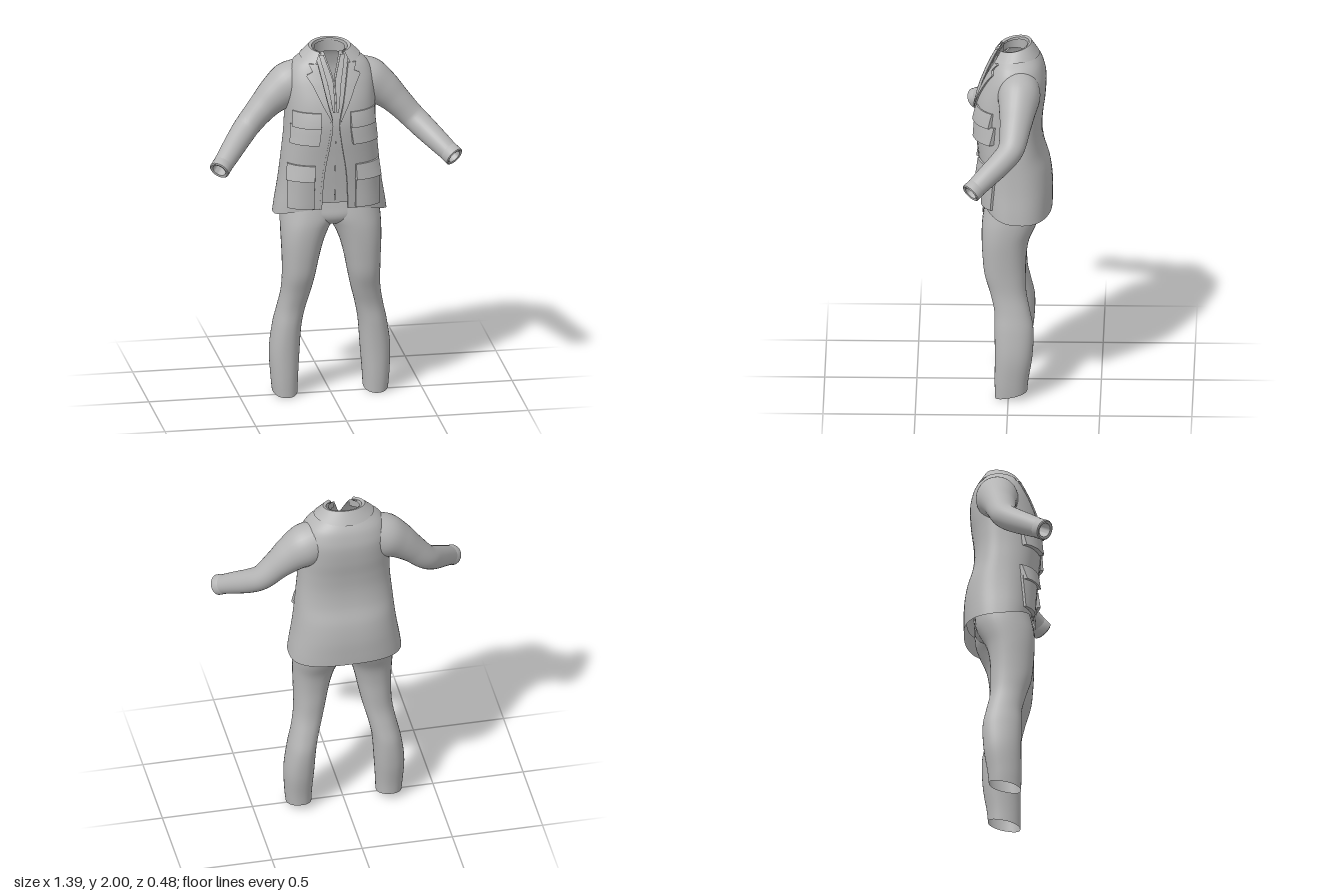
import * as THREE from 'three';
import { toCreasedNormals } from 'three/addons/utils/BufferGeometryUtils.js';

const cloth = new THREE.MeshStandardMaterial({ color: 0xb6b6b6, side: THREE.DoubleSide });
cloth.name = 'grey cloth';

const { lerp, clamp } = THREE.MathUtils;
const TAU = Math.PI * 2;
const ZC = -0.03; // depth of the torso axis

// Table of [key, a, b, ...] rows -> function giving smoothly interpolated [a, b, ...]
function profile(rows) {
  const slope = (i, k) => {
    const a = rows[Math.max(i - 1, 0)], b = rows[Math.min(i + 1, rows.length - 1)];
    return (b[k] - a[k]) / (b[0] - a[0]);
  };
  return (y) => {
    y = clamp(y, rows[0][0], rows[rows.length - 1][0]);
    let i = 0;
    while (i < rows.length - 2 && y > rows[i + 1][0]) i++;
    const p = rows[i], q = rows[i + 1], h = q[0] - p[0], t = (y - p[0]) / h;
    const t2 = t * t, t3 = t2 * t, out = [];
    for (let k = 1; k < p.length; k++) {
      out.push((2 * t3 - 3 * t2 + 1) * p[k] + (3 * t2 - 2 * t3) * q[k]
        + h * ((t3 - 2 * t2 + t) * slope(i, k) + (t3 - t2) * slope(i + 1, k)));
    }
    return out;
  };
}

// Grid surface from f(u, v) -> [x, y, z]; closed joins u = 1 to u = 0
function surface(f, nu, nv, closed = false) {
  const w = closed ? nu : nu + 1, pos = [], idx = [];
  for (let j = 0; j <= nv; j++) for (let i = 0; i < w; i++) pos.push(...f(i / nu, j / nv));
  for (let j = 0; j < nv; j++) for (let i = 0; i < nu; i++) {
    const a = j * w + i, b = j * w + (i + 1) % w;
    idx.push(a, b, b + w, a, b + w, a + w);
  }
  const g = new THREE.BufferGeometry();
  g.setAttribute('position', new THREE.Float32BufferAttribute(pos, 3));
  g.setIndex(idx);
  g.computeVertexNormals();
  return g;
}

const spow = (s, p) => Math.sign(s) * Math.abs(s) ** p;

// Torso sections: y, half width, front z, back z
const torso = profile([
  [1.03, 0.312, 0.135, -0.235], [1.1, 0.302, 0.142, -0.237], [1.2, 0.285, 0.15, -0.236],
  [1.3, 0.272, 0.16, -0.222], [1.4, 0.262, 0.17, -0.192], [1.5, 0.252, 0.18, -0.18],
  [1.6, 0.247, 0.183, -0.185], [1.7, 0.245, 0.165, -0.198], [1.8, 0.24, 0.128, -0.202],
  [1.86, 0.222, 0.1, -0.19], [1.9, 0.195, 0.08, -0.175], [1.935, 0.15, 0.06, -0.15],
  [1.97, 0.11, 0.04, -0.12],
]);
// Half width of the front openings
const jacketGap = profile([[1.03, 0.075], [1.3, 0.06], [1.5, 0.028], [1.6, 0.018], [1.7, 0.04], [1.85, 0.07], [1.97, 0.095]]);
const shirtGap = profile([[1.1, 0.0005], [1.8, 0.0005], [1.83, 0.004], [1.9, 0.026], [1.97, 0.05]]);

// Open-fronted garment wrapped around the torso
function garment(gap, hem, top, inset) {
  return surface((u, v) => {
    const y0 = lerp(1.06, top, v);
    const t0 = Math.asin((gap(y0)[0] / torso(y0)[0]) ** 1.25);
    const a = lerp(t0, TAU - t0, u);
    const y = lerp(hem(a), top, v);
    const [hx, zf, zb] = torso(y), c = Math.cos(a);
    return [(hx - inset) * spow(Math.sin(a), 0.8), y,
      ZC + (c > 0 ? zf - inset - ZC : ZC - zb - inset) * spow(c, 0.8)];
  }, 72, 56);
}

// Raised panel on the torso front between x0(y) and x1(y), with its edges turned in
function panel(side, x0, x1, yLow, yHigh, thick, nv = 10) {
  const nu = 10;
  const inner = (t, n) => clamp((t * (n + 2) - 1) / n, 0, 1);
  const g = surface((u, v) => {
    const edge = u < 1e-6 || v < 1e-6 || u > 1 - 1e-6 || v > 1 - 1e-6;
    const s = inner(side > 0 ? u : 1 - u, nu), t = inner(v, nv);
    const y = lerp(yLow, yHigh, t), [hx, zf] = torso(y);
    const x = lerp(x0(y), x1(y), s), r = Math.min(x / hx, 0.995);
    const d = edge ? -0.006 : thick(s, t);
    return [side * (x + 0.5 * d * r), y, ZC + (zf - ZC) * (1 - r ** 2.5) ** 0.4 + d];
  }, nu + 2, nv + 2);
  return toCreasedNormals(g, 0.7);
}

function linear(rows) {
  return (y) => {
    let i = 0;
    while (i < rows.length - 2 && y > rows[i + 1][0]) i++;
    const [a, b] = [rows[i], rows[i + 1]];
    return lerp(a[1], b[1], clamp((y - a[0]) / (b[0] - a[0]), 0, 1));
  };
}

// Trouser leg: y, inner x, outer x, front z, back z
const leg = profile([
  [0, 0.182, 0.315, 0.072, -0.1], [0.1, 0.178, 0.325, 0.074, -0.108], [0.25, 0.168, 0.331, 0.073, -0.131],
  [0.4, 0.157, 0.312, 0.075, -0.136], [0.5, 0.138, 0.29, 0.077, -0.117], [0.6, 0.112, 0.272, 0.1, -0.097],
  [0.7, 0.09, 0.268, 0.13, -0.094], [0.8, 0.07, 0.27, 0.141, -0.096], [0.9, 0.042, 0.274, 0.146, -0.112],
  [0.98, 0.004, 0.275, 0.145, -0.148], [1.04, -0.04, 0.272, 0.138, -0.172], [1.16, -0.06, 0.255, 0.112, -0.18],
]);
// Hips between the legs: y, half width, front z, back z
const hips = profile([
  [0.985, 0.02, 0.04, -0.06], [1.0, 0.1, 0.1, -0.11], [1.04, 0.2, 0.132, -0.165],
  [1.1, 0.262, 0.126, -0.18], [1.17, 0.255, 0.112, -0.185],
]);
// Sleeve: position along, centre x, y, z, radius across, radius in depth
const sleeve = profile([
  [0, 0.13, 1.81, -0.06, 0.1, 0.1], [0.14, 0.215, 1.765, -0.058, 0.12, 0.115],
  [0.28, 0.295, 1.71, -0.05, 0.1, 0.1], [0.42, 0.365, 1.645, -0.04, 0.08, 0.085],
  [0.58, 0.452, 1.552, -0.018, 0.068, 0.072], [0.68, 0.505, 1.502, 0.03, 0.066, 0.066],
  [0.84, 0.58, 1.436, 0.118, 0.059, 0.059], [1, 0.645, 1.379, 0.194, 0.05, 0.052],
]);

export function createModel() {
  const model = new THREE.Group();
  model.name = 'outfit';
  const add = (name, geometry) => {
    const m = new THREE.Mesh(geometry, cloth);
    m.name = name;
    model.add(m);
    return m;
  };

  // Jacket and shirt bodies
  const hem = (a) => 1.075 + 0.025 * Math.cos(a) - 0.035 * Math.sin(a) ** 2;
  add('jacketBody', garment(jacketGap, hem, 1.965, 0));
  add('shirtBody', garment(shirtGap, () => 1.13, 1.965, 0.015));

  // Turned-down jacket collar: outer edge, fold, inner edge
  const collar = surface((u, v) => {
    const a = lerp(0.62, TAU - 0.62, u), s = Math.sin(a), c = Math.cos(a);
    const fold = 1.982 - 0.018 * c;
    const p = [
      [0.165 * s, 1.915 - 0.015 * c + 0.02 * s * s, ZC + 0.135 * c],
      [0.115 * s, fold, ZC + 0.092 * c],
      [0.098 * s, fold - 0.005, ZC + 0.078 * c],
      [0.095 * s, fold - 0.055, ZC + 0.076 * c],
    ];
    const k = Math.min(Math.floor(v * 3), 2), t = v * 3 - k;
    return p[k].map((q, i) => lerp(q, p[k + 1][i], t));
  }, 48, 9);
  add('jacketCollar', toCreasedNormals(collar, 0.9));

  // Shirt collar band inside it
  add('shirtCollarBand', surface((u, v) => {
    const a = lerp(0.5, TAU - 0.5, u), r = lerp(0.09, 0.085, v);
    return [r * Math.sin(a), lerp(1.92, 1.972 - 0.014 * Math.cos(a), v), ZC + 0.82 * r * Math.cos(a)];
  }, 40, 3));

  // Hips
  add('trouserHips', surface((u, v) => {
    const a = u * TAU, y = lerp(0.985, 1.17, v), [hx, zf, zb] = hips(y), c = Math.cos(a);
    return [hx * spow(Math.sin(a), 0.85), y, (c > 0 ? zf : -zb) * spow(c, 0.85)];
  }, 48, 14, true));

  const lapelEdge = linear([[1.61, 0.024], [1.7, 0.07], [1.8, 0.115], [1.855, 0.148], [1.872, 0.112], [1.91, 0.128]]);
  for (const side of [1, -1]) {
    const label = side > 0 ? 'left' : 'right';
    const dir = (u) => (side > 0 ? u : 1 - u);
    const k = (n) => () => n;

    // Lapels, front edges and shirt collar points
    add(label + 'Lapel', panel(side, (y) => jacketGap(y)[0], lapelEdge, 1.61, 1.91, k(0.009), 40));
    add(label + 'FrontEdge', panel(side, (y) => jacketGap(y)[0], (y) => jacketGap(y)[0] + 0.012, 1.1, 1.61, k(0.003), 24));
    add(label + 'ShirtCollar', panel(side, (y) => shirtGap(y)[0] + 0.004,
      linear([[1.66, 0.016], [1.8, 0.036], [1.95, 0.072]]), 1.66, 1.95, k(-0.003), 20));

    // Pockets and flaps, flaps standing out at the lower edge
    add(label + 'ChestPocket', panel(side, k(0.08), k(0.222), 1.575, 1.66, (s, t) => 0.008 + 0.012 * (1 - t)));
    add(label + 'ChestPocketFlap', panel(side, linear([[1.48, 0.09], [1.585, 0.078]]), k(0.232), 1.48, 1.582, (s, t) => 0.008 + 0.016 * (1 - t)));
    add(label + 'HipPocket', panel(side, k(0.112), k(0.25), 1.105, 1.29, (s, t) => 0.012 + 0.01 * Math.sin(Math.PI * s)));
    add(label + 'HipPocketFlap', panel(side, k(0.11), k(0.248), 1.268, 1.355, (s, t) => 0.012 + 0.02 * (1 - t)));

    // Sleeve
    const up = new THREE.Vector3(0, 1, 0);
    add(label + 'Sleeve', surface((u, v) => {
      const a = dir(u) * TAU, [x, y, z, rv, rz] = sleeve(v);
      const p = sleeve(v - 0.02), q = sleeve(v + 0.02);
      const T = new THREE.Vector3(q[0] - p[0], q[1] - p[1], q[2] - p[2]).normalize();
      const B = new THREE.Vector3().crossVectors(T, up).normalize();
      const N = new THREE.Vector3().crossVectors(B, T);
      const o = B.multiplyScalar(rz * Math.cos(a)).addScaledVector(N, rv * Math.sin(a));
      return [side * (x + o.x), y + o.y, z + o.z];
    }, 28, 40, true));

    // Cuff with an open end
    const cuffShape = [[0.052, -0.045], [0.055, -0.04], [0.056, 0.004], [0.05, 0.009], [0.038, 0.005], [0.036, -0.07]];
    const cuff = add(label + 'Cuff', toCreasedNormals(
      new THREE.LatheGeometry(cuffShape.map(([r, h]) => new THREE.Vector2(r, h)), 28), 0.6));
    cuff.position.set(side * 0.645, 1.379, 0.194);
    cuff.quaternion.setFromUnitVectors(up, new THREE.Vector3(side * 0.065, -0.057, 0.076).normalize());

    // Trouser leg, cut lower at the front of the ankle
    add(label + 'TrouserLeg', surface((u, v) => {
      const a = u * TAU, s = Math.sin(a), c = Math.cos(a);
      const y = lerp(0.025 - 0.022 * c, 1.16, v);
      const [xi, xo, zf, zb] = leg(y);
      return [side * (xi + xo) / 2 + (xo - xi) / 2 * spow(s, 0.9), y,
        (zf + zb) / 2 + (zf - zb) / 2 * spow(c, 0.9)];
    }, 36, 48, true));
  }
  return model;
}
